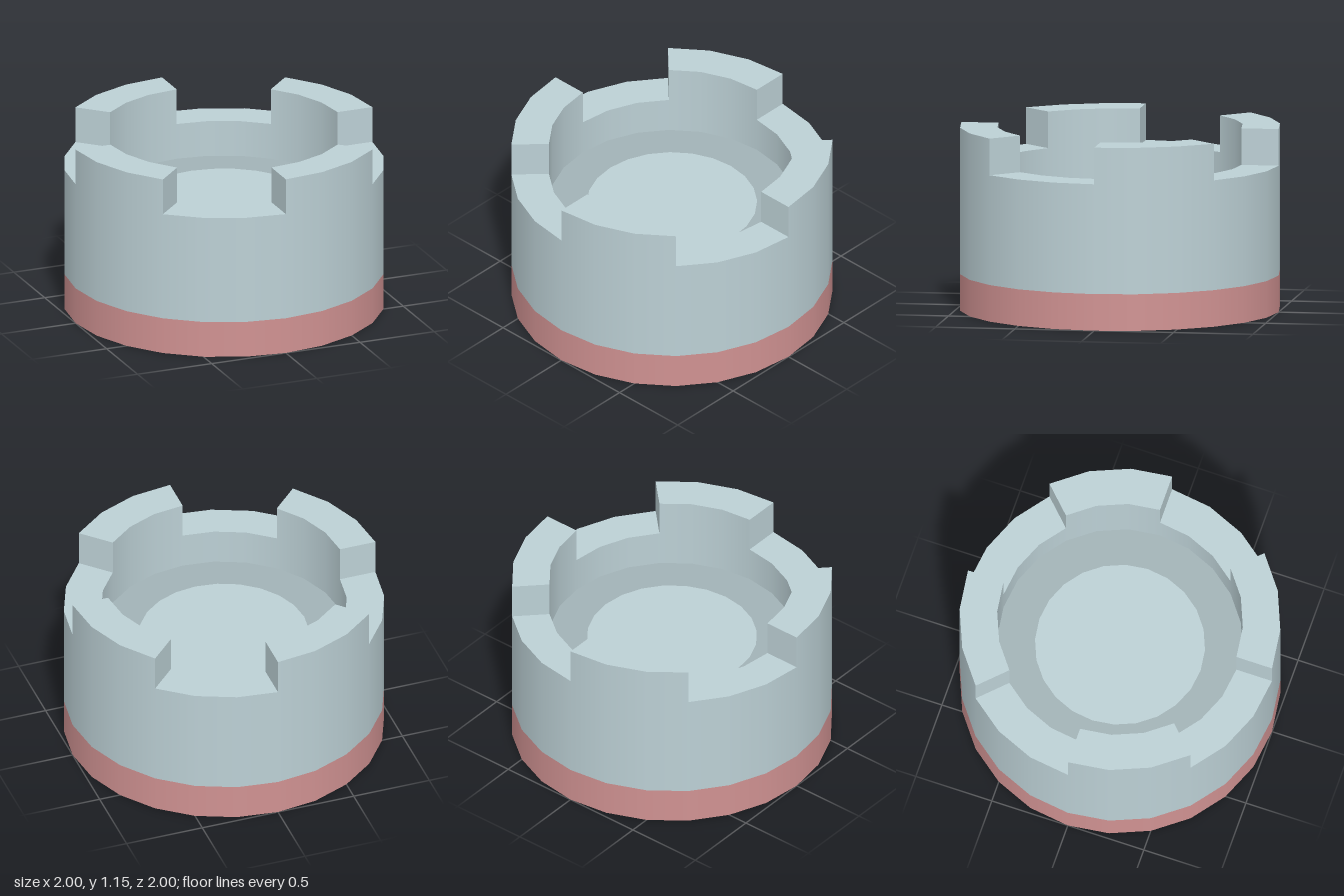
import * as THREE from 'three';
import { mergeGeometries } from 'three/addons/utils/BufferGeometryUtils.js';

const OUTER = 1, INNER = 0.766, DISC = 0.53;
const BAND = 0.23, FLOOR = 0.69, RIM = 0.92, TOP = 1.15;
const SIDES = 24, EIGHTH = Math.PI / 4;

// Revolves each straight piece of a profile separately: smooth around, sharp at corners
function revolve(profile, start = 0, arc = Math.PI * 2) {
  const points = profile.map(([r, y]) => new THREE.Vector2(r, y));
  const segments = Math.round(SIDES * arc / (Math.PI * 2));
  const pieces = points.slice(1).map((p, i) =>
    new THREE.LatheGeometry([points[i], p], segments, start, arc));
  return mergeGeometries(pieces);
}

// Flat radial end of a battlement; turn flips which way it faces
function endFace(angle, turn) {
  return new THREE.PlaneGeometry(OUTER - INNER, TOP - RIM)
    .rotateY(turn)
    .translate((OUTER + INNER) / 2, (TOP + RIM) / 2, 0)
    .rotateY(angle - Math.PI / 2);
}

export function createModel() {
  const group = new THREE.Group();
  const stone = new THREE.MeshStandardMaterial({ color: 0xbcd0d5 });
  const darkStone = new THREE.MeshStandardMaterial({ color: 0xa2b3b7 });
  const red = new THREE.MeshStandardMaterial({ color: 0xd09292 });
  const add = (name, geometry, material) => {
    const mesh = new THREE.Mesh(geometry, material);
    mesh.name = name;
    group.add(mesh);
  };

  // Coloured base with its underside
  add('baseBand', revolve([[0, 0], [OUTER, 0], [OUTER, BAND]]), red);

  // Round wall, outside and inside
  add('outerWall', revolve([[OUTER, BAND], [OUTER, RIM]]), stone);
  add('innerWall', revolve([[INNER, RIM], [INNER, FLOOR]]), stone);

  // Sunken floor: dark ring around a light disc
  add('floorRing', revolve([[INNER, FLOOR], [DISC, FLOOR]]), darkStone);
  add('floorDisc', revolve([[DISC, FLOOR], [0, FLOOR]]), stone);

  // Four battlements alternating with four gaps
  for (let i = 0; i < 4; i++) {
    const start = i * Math.PI / 2, end = start + EIGHTH;
    add('battlement', mergeGeometries([
      revolve([[OUTER, RIM], [OUTER, TOP], [INNER, TOP], [INNER, RIM]], start, EIGHTH),
      endFace(start, 0),
      endFace(end, Math.PI),
    ]), stone);
    add('gapRim', revolve([[OUTER, RIM], [INNER, RIM]], end, EIGHTH), stone);
  }
  return group;
}
